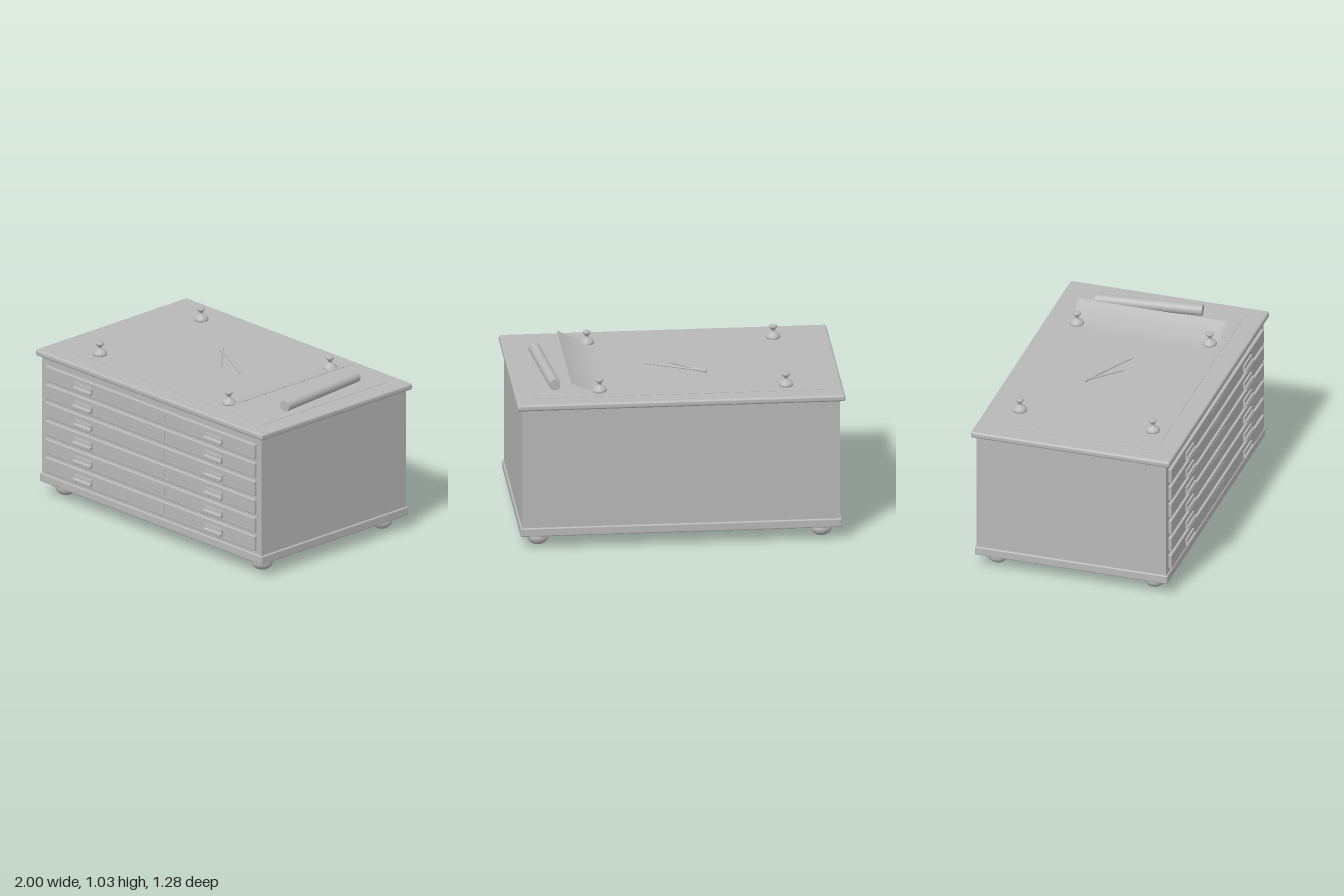
import * as THREE from 'three';
import { RoundedBoxGeometry } from 'three/addons/geometries/RoundedBoxGeometry.js';

export function createModel() {
  const group = new THREE.Group();
  const grey = new THREE.MeshStandardMaterial({ color: 0xb8b8b8 });
  grey.name = 'grey';
  const greySheet = new THREE.MeshStandardMaterial({ color: 0xb8b8b8, side: THREE.DoubleSide });
  greySheet.name = 'greySheet';

  const add = (name, geometry, x = 0, y = 0, z = 0, material = grey) => {
    const mesh = new THREE.Mesh(geometry, material);
    mesh.name = name;
    mesh.position.set(x, y, z);
    group.add(mesh);
    return mesh;
  };
  // Box given by its min and max on each axis, with optional rounded edges
  const block = (name, [x0, x1], [y0, y1], [z0, z1], r = 0) => {
    const size = [x1 - x0, y1 - y0, z1 - z0];
    const geometry = r ? new RoundedBoxGeometry(...size, 3, r) : new THREE.BoxGeometry(...size);
    return add(name, geometry, (x0 + x1) / 2, (y0 + y1) / 2, (z0 + z1) / 2);
  };
  // Straight round bar between two points
  const rod = (name, a, b, r0, r1, sides) => {
    const dir = b.clone().sub(a);
    const mid = a.clone().add(b).multiplyScalar(0.5);
    const mesh = add(name, new THREE.CylinderGeometry(r1, r0, dir.length(), sides), mid.x, mid.y, mid.z);
    mesh.quaternion.setFromUnitVectors(new THREE.Vector3(0, 1, 0), dir.normalize());
    return mesh;
  };

  // Cabinet
  block('plinth', [-0.98, 0.98], [0.085, 0.14], [-0.62, 0.61], 0.008);
  block('body', [-0.97, 0.97], [0.13, 0.91], [-0.61, 0.6]);
  block('top', [-1, 1], [0.903, 0.943], [-0.64, 0.63], 0.014);

  // Bun feet
  for (const x of [-0.865, 0.865]) {
    for (const z of [-0.505, 0.495]) {
      add('foot', new THREE.SphereGeometry(0.065, 24, 16), x, 0.052, z).scale.y = 0.8;
    }
  }

  // Side profile of the cup pull: back plate with a lip
  const pull = new THREE.Shape([
    [0, -0.022], [0.02, -0.022], [0.026, -0.018], [0.026, -0.006],
    [0.014, 0], [0.012, 0.022], [0, 0.022],
  ].map(([z, y]) => new THREE.Vector2(z, y)));
  const pullGeometry = new THREE.ExtrudeGeometry(pull, { depth: 0.15, bevelEnabled: false });
  pullGeometry.translate(0, 0, -0.075).rotateY(-Math.PI / 2);

  // Six shallow drawers with pulls and label plates
  for (let i = 0; i < 6; i++) {
    const y = 0.212 + i * 0.119;
    block('drawer', [-0.925, 0.925], [y - 0.048, y + 0.048], [0.59, 0.62], 0.006);
    block('labelPlate', [-0.132, 0.132], [y - 0.028, y + 0.028], [0.616, 0.622]);
    for (const x of [-0.577, 0.575]) add('drawerPull', pullGeometry, x, y - 0.006, 0.618);
  }

  // Desk mat
  block('mat', [-0.88, 0.88], [0.942, 0.945], [-0.525, 0.503]);

  // Drawing sheet, flat and then curling up at its left-hand end
  const sheet = new THREE.PlaneGeometry(1.36, 0.94, 68, 1);
  sheet.rotateX(-Math.PI / 2).translate(-0.02, 0, -0.01);
  const pos = sheet.attributes.position;
  for (let i = 0; i < pos.count; i++) {
    const t = Math.max(0, (pos.getX(i) - 0.42) / 0.24);
    pos.setY(i, 0.948 + 0.074 * t * t);
  }
  sheet.computeVertexNormals();
  add('drawingSheet', sheet, 0, 0, 0, greySheet);

  // Paperweights on the sheet corners
  const weightProfile = [
    [0, 0], [0.043, 0], [0.045, 0.006], [0.043, 0.014], [0.036, 0.024], [0.022, 0.033],
    [0.012, 0.039], [0.01, 0.047], [0.014, 0.055], [0.024, 0.066], [0.025, 0.074], [0.02, 0.08], [0, 0.081],
  ].map(([r, y]) => new THREE.Vector2(r, y));
  for (const x of [-0.655, 0.482]) {
    for (const z of [-0.435, 0.413]) {
      add('paperweight', new THREE.LatheGeometry(weightProfile, 24), x, 0.948, z);
    }
  }

  // Rolled drawing
  rod('paperRoll', new THREE.Vector3(0.75, 0.983, -0.4), new THREE.Vector3(0.816, 0.983, 0.262), 0.035, 0.035, 28);

  // Dividers lying open
  const hinge = new THREE.Vector3(-0.185, 0.957, -0.162);
  add('dividerHinge', new THREE.SphereGeometry(0.014, 16, 12), hinge.x, hinge.y, hinge.z);
  rod('dividerLeg', hinge, new THREE.Vector3(0.012, 0.954, 0.022), 0.007, 0.005, 10);
  rod('dividerLeg', hinge, new THREE.Vector3(0.165, 0.954, 0.02), 0.007, 0.005, 10);

  return group;
}
